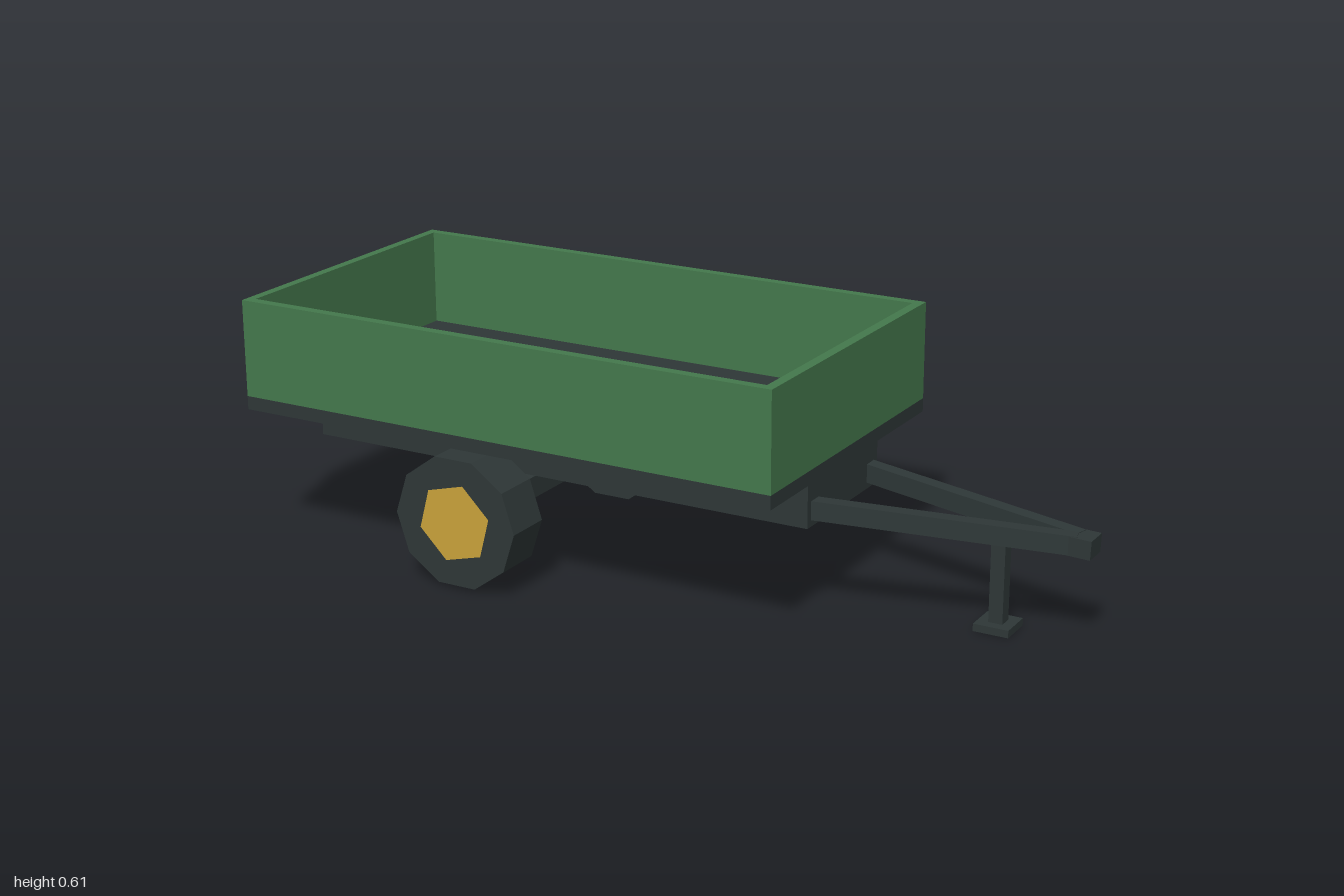
import * as THREE from 'three';

const mat = (name, color) => Object.assign(new THREE.MeshStandardMaterial({ color, flatShading: true }), { name });

export function createModel() {
  const green = mat('green paint', 0x44784c);
  const dark = mat('dark metal', 0x2e3737);
  const gold = mat('gold hub', 0xc9a23a);
  const trailer = new THREE.Group();
  trailer.name = 'trailer';

  // Box given by its minimum and maximum on each axis
  const box = (name, material, [x0, x1], [y0, y1], [z0, z1], parent = trailer) => {
    const m = new THREE.Mesh(new THREE.BoxGeometry(x1 - x0, y1 - y0, z1 - z0), material);
    m.position.set((x0 + x1) / 2, (y0 + y1) / 2, (z0 + z1) / 2);
    m.name = name;
    parent.add(m);
    return m;
  };

  // Bed and chassis
  box('bedFloor', dark, [-1, 0.408], [0.338, 0.371], [-0.388, 0.388]);
  box('chassis', dark, [-0.945, 0.39], [0.222, 0.338], [-0.177, 0.177]);

  // Open-topped side walls: one extruded ring
  const ring = new THREE.Shape();
  ring.moveTo(-1, -0.388).lineTo(0.408, -0.388).lineTo(0.408, 0.388).lineTo(-1, 0.388).closePath();
  const hole = new THREE.Path();
  hole.moveTo(-0.978, -0.364).lineTo(-0.978, 0.364).lineTo(0.384, 0.364).lineTo(0.384, -0.364).closePath();
  ring.holes.push(hole);
  const walls = new THREE.Mesh(new THREE.ExtrudeGeometry(ring, { depth: 0.237, bevelEnabled: false }), green);
  walls.rotation.x = -Math.PI / 2;
  walls.position.y = 0.371;
  walls.name = 'bedWalls';
  trailer.add(walls);

  // Axle and the two wheels
  box('axle', dark, [-0.428, -0.373], [0.137, 0.191], [-0.3, 0.3]);
  for (const side of [1, -1]) {
    const wheel = new THREE.Group();
    wheel.name = side > 0 ? 'frontWheel' : 'backWheel';
    const tyre = new THREE.Mesh(new THREE.CylinderGeometry(0.162, 0.162, 0.118, 10), dark);
    tyre.geometry.rotateY(Math.PI / 2).rotateX(Math.PI / 2);
    tyre.name = 'tyre';
    const hub = new THREE.Mesh(new THREE.CircleGeometry(0.098, 6, Math.PI / 12), gold);
    hub.position.z = 0.061;
    hub.name = 'hub';
    wheel.add(tyre, hub);
    wheel.position.set(-0.4, 0.164, side * 0.346);
    if (side < 0) wheel.rotation.y = Math.PI;
    trailer.add(wheel);
  }

  // A-frame drawbar: two sloping bars meeting at the hitch
  for (const side of [1, -1]) {
    const start = new THREE.Vector3(0.385, 0.26, side * 0.143);
    const end = new THREE.Vector3(0.96, 0.239, side * 0.01);
    const bar = new THREE.Mesh(new THREE.BoxGeometry(0.035, 0.045, start.distanceTo(end)), dark);
    bar.position.copy(start).lerp(end, 0.5);
    bar.lookAt(end);
    bar.name = side > 0 ? 'leftDrawbar' : 'rightDrawbar';
    trailer.add(bar);
  }
  const hitch = box('hitch', dark, [0.922, 0.999], [0.216, 0.26], [-0.031, 0.031]);
  hitch.rotation.z = -0.037;

  // Parking stand
  box('standPost', dark, [0.763, 0.797], [0.018, 0.24], [-0.017, 0.017]);
  box('standFoot', dark, [0.737, 0.822], [0, 0.018], [-0.042, 0.042]);

  return trailer;
}
